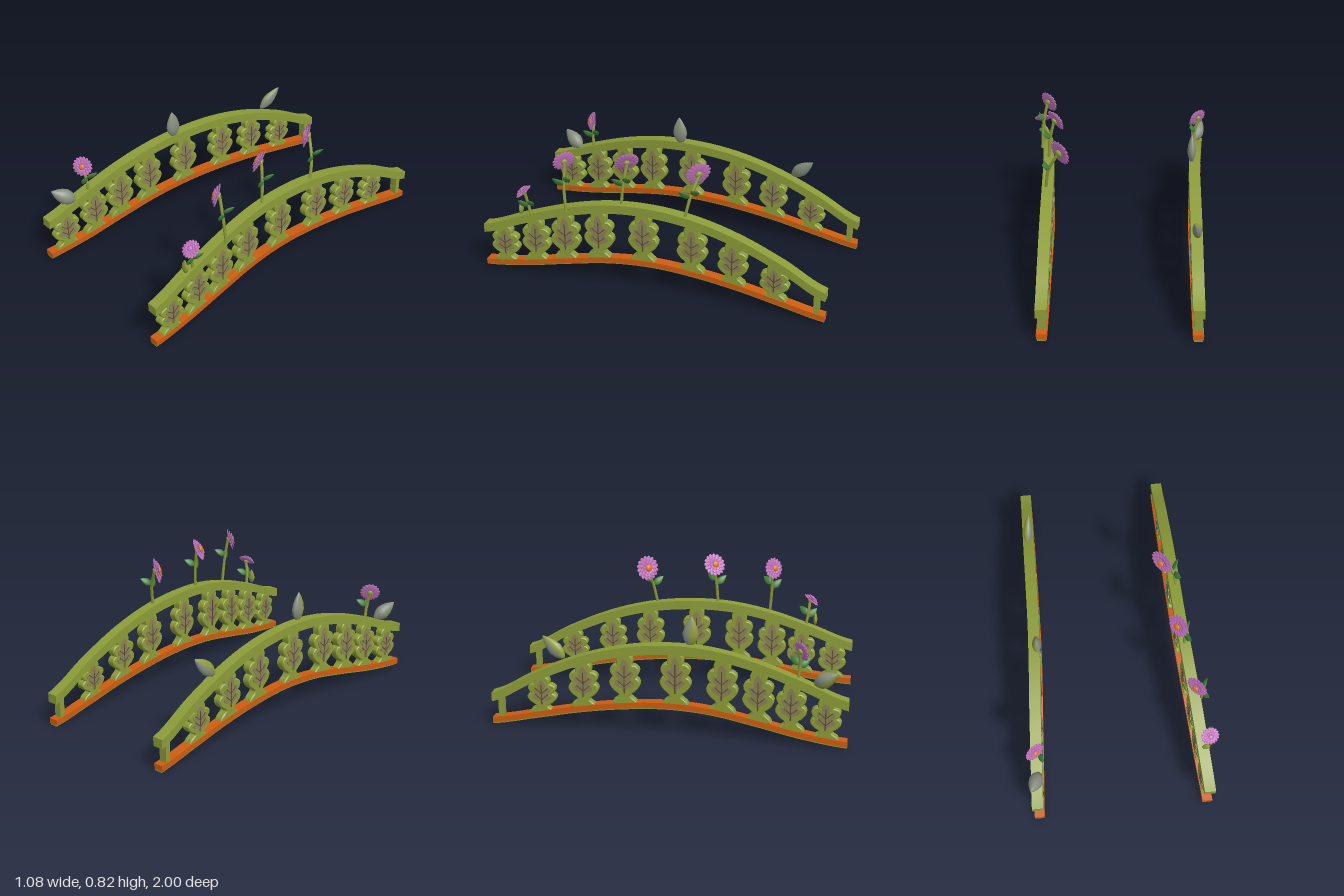
import * as THREE from 'three';
import { toCreasedNormals, mergeGeometries } from 'three/addons/utils/BufferGeometryUtils.js';

const mat = (name, color) => {
  const m = new THREE.MeshStandardMaterial({ color });
  m.name = name;
  return m;
};
const V = (x, y, z) => new THREE.Vector3(x, y, z);

// Height and offset profiles, evenly spaced from z = -1 to z = 1
const profile = (values) => {
  const curve = new THREE.SplineCurve(values.map((v, i) => new THREE.Vector2(-1 + i * 0.25, v)));
  return (z) => curve.getPoint((z + 1) / 2).y;
};
const railTop = profile([0.19, 0.32, 0.428, 0.497, 0.525, 0.515, 0.462, 0.377, 0.283]);
const beamTop = profile([0.04, 0.087, 0.137, 0.172, 0.188, 0.174, 0.13, 0.08, 0.05]);
const railX = profile([0.395, 0.395, 0.397, 0.4, 0.406, 0.42, 0.439, 0.457, 0.475]);
const RIGHT_SHIFT = 0.031;

// Rectangular bar following a height profile along the railing
function sweepBar(xAt, topAt, halfWidth, drop, height) {
  const pos = [], idx = [], n = 48;
  for (let i = 0; i <= n; i++) {
    const z = -1 + (2 * i) / n, x = xAt(z), t = topAt(z) - drop;
    for (const [sx, y] of [[-1, t - height], [1, t - height], [1, t], [-1, t]]) {
      pos.push(x + sx * halfWidth, y, z);
    }
  }
  for (let i = 0; i < n; i++) {
    for (let k = 0; k < 4; k++) {
      const a = i * 4 + k, b = i * 4 + ((k + 1) % 4);
      idx.push(a, b, b + 4, a, b + 4, a + 4);
    }
  }
  const e = n * 4;
  idx.push(0, 2, 1, 0, 3, 2, e, e + 1, e + 2, e, e + 2, e + 3);
  const g = new THREE.BufferGeometry();
  g.setAttribute('position', new THREE.Float32BufferAttribute(pos, 3));
  g.setIndex(idx);
  return toCreasedNormals(g, 0.6);
}

// Lobed leaf outline mirrored about its stem
function lobedShape(half, w, h, y0 = 0) {
  const pts = [...half, ...half.slice().reverse().filter(([x]) => x > 0).map(([x, y]) => [-x, y])]
    .map(([x, y]) => new THREE.Vector2(x * w, y0 + y * h));
  const shape = new THREE.Shape();
  shape.moveTo(pts[0].x, pts[0].y);
  shape.splineThru(pts.slice(1));
  shape.closePath();
  return shape;
}
const BALUSTER = [[0.85, 0], [0.72, 0.06], [0.4, 0.13], [0.36, 0.2], [0.75, 0.29], [1, 0.4], [0.9, 0.49],
  [0.68, 0.53], [0.9, 0.61], [0.93, 0.7], [0.7, 0.76], [0.48, 0.77], [0.5, 0.88], [0.34, 0.96], [0, 1]];
const INLAY = [[0.08, 0], [0.18, 0.12], [0.7, 0.2], [0.85, 0.33], [0.5, 0.4], [0.75, 0.52], [0.72, 0.64],
  [0.35, 0.65], [0.36, 0.82], [0, 1]];

// Curve segments apply to every outline point, so two are enough
function extrude(shape, depth, bevel = 0) {
  const g = new THREE.ExtrudeGeometry(shape, {
    depth, curveSegments: 2, bevelEnabled: bevel > 0, bevelSize: bevel, bevelThickness: bevel, bevelSegments: 1,
  });
  g.translate(0, 0, -depth / 2);
  g.rotateY(-Math.PI / 2);
  return toCreasedNormals(g, 0.6);
}

// Pointed bud or leaf standing on its base
function podGeometry(start = 0, length = Math.PI * 2) {
  const pts = [[0, 0], [0.45, 0.08], [0.85, 0.25], [1, 0.42], [0.85, 0.62], [0.5, 0.82], [0.2, 0.94], [0, 1]];
  return new THREE.LatheGeometry(pts.map(([x, y]) => new THREE.Vector2(x, y)), 14, start, length);
}

export function createModel() {
  const M = {
    green: mat('moss green', 0x8c9c38),
    orange: mat('burnt orange', 0xcc5c10),
    inlay: mat('olive brown', 0x8a8154),
    vein: mat('dark vein', 0x5a4c34),
    pink: mat('orchid pink', 0xc070ba),
    centre: mat('flower centre', 0xe0761a),
    leaf: mat('leaf green', 0x3f7d38),
    bud: mat('grey green', 0x868e7e),
  };
  const model = new THREE.Group();
  const add = (parent, name, geo, material) => {
    const m = new THREE.Mesh(geo, material);
    m.name = name;
    parent.add(m);
    return m;
  };

  function baluster(parent, xAt, z) {
    const g = new THREE.Group();
    g.name = 'leafBaluster';
    const y0 = beamTop(z) - 0.008, h = railTop(z) - 0.04 - y0;
    g.position.set(xAt(z), y0, z);
    g.rotation.y = Math.atan((xAt(z + 0.05) - xAt(z - 0.05)) / 0.1);
    const w = 0.07 + h * 0.04;
    add(g, 'balusterBody', extrude(lobedShape(BALUSTER, w, h), 0.04, 0.005), M.green);
    // Leaf inlay and veins on both faces
    for (const s of [-1, 1]) {
      add(g, 'leafInlay', extrude(lobedShape(INLAY, w * 0.8, h * 0.68, h * 0.23), 0.006), M.inlay)
        .position.x = s * 0.026;
      const veins = [new THREE.BoxGeometry(0.004, h * 0.55, 0.006).translate(0, h * 0.5, 0)];
      for (const v of [0.36, 0.53]) {
        for (const side of [-1, 1]) {
          veins.push(new THREE.BoxGeometry(0.004, 0.05, 0.005).translate(0, 0.025, 0)
            .rotateX(side * 0.85).translate(0, h * v, 0));
        }
      }
      add(g, 'leafVeins', mergeGeometries(veins), M.vein).position.x = s * 0.028;
    }
    parent.add(g);
  }

  // Two curved railings
  for (const side of [1, -1]) {
    const rail = new THREE.Group();
    rail.name = side > 0 ? 'leftRailing' : 'rightRailing';
    const xAt = (z) => (side > 0 ? railX(z) : -railX(z) - RIGHT_SHIFT);
    add(rail, 'handrail', sweepBar(xAt, railTop, 0.032, 0, 0.053), M.green);
    add(rail, 'lowerBeam', sweepBar(xAt, beamTop, 0.029, 0, 0.032), M.orange);
    add(rail, 'beamUnderside', sweepBar(xAt, beamTop, 0.023, 0.03, 0.01), M.green);
    for (const z of [0.88, 0.69, 0.51, 0.31, 0.05, -0.235, -0.47, -0.71]) baluster(rail, xAt, z);
    const low = beamTop(-0.95) - 0.01, high = railTop(-0.95) - 0.03;
    add(rail, 'endPost', new THREE.BoxGeometry(0.045, high - low, 0.03), M.green)
      .position.set(xAt(-0.95), (low + high) / 2, -0.95);
    model.add(rail);
  }

  const aim = (obj, from, dir) => obj.quaternion.setFromUnitVectors(from, dir.clone().normalize());
  const UP = V(0, 1, 0);

  // Large closed buds on the handrail, with one pale inner face
  function bud(base, tip, rx, rz) {
    const g = new THREE.Group();
    g.name = 'largeBud';
    const dir = tip.clone().sub(base);
    g.position.copy(base);
    aim(g, UP, dir);
    g.scale.set(rx, dir.length(), rz);
    add(g, 'budShell', podGeometry(0, Math.PI * 1.5), M.bud);
    add(g, 'budFace', podGeometry(Math.PI * 1.5, Math.PI / 2), M.green);
    model.add(g);
  }
  bud(V(-0.475, 0.345, 0.81), V(-0.53, 0.435, 0.935), 0.04, 0.045);
  bud(V(-0.425, 0.51, 0.125), V(-0.425, 0.685, 0.135), 0.025, 0.044);
  bud(V(-0.435, 0.41, -0.575), V(-0.41, 0.53, -0.705), 0.026, 0.04);

  // One ring of flattened petals facing +z
  function petalRing(count, inner, outer, z, tilt, turn) {
    const parts = [], len = (outer - inner) / 2;
    for (let i = 0; i < count; i++) {
      parts.push(new THREE.SphereGeometry(1, 8, 6)
        .scale((Math.PI * outer / count) * 1.05, len, 0.004)
        .rotateX(tilt).translate(0, inner + len, z).rotateZ((i / count) * Math.PI * 2 + turn));
    }
    return mergeGeometries(parts);
  }

  function flower(base, head, normal, r, leafAt, centred = true) {
    const g = new THREE.Group();
    g.name = 'flower';
    const mid = base.clone().lerp(head, 0.55).add(V((base.x - head.x) * 0.3, 0, 0));
    const n = normal.clone().normalize();
    const path = new THREE.CatmullRomCurve3([base, mid, head.clone().addScaledVector(n, -0.012)]);
    add(g, 'stem', new THREE.TubeGeometry(path, 12, 0.009, 7), M.green);
    const bloom = new THREE.Group();
    bloom.name = 'bloom';
    bloom.position.copy(head);
    aim(bloom, V(0, 0, 1), n);
    add(bloom, 'outerPetals', petalRing(16, r * 0.25, r, 0, 0.12, 0), M.pink);
    add(bloom, 'middlePetals', petalRing(13, r * 0.2, r * 0.78, 0.009, 0.25, 0.2), M.pink);
    add(bloom, 'innerPetals', petalRing(10, r * 0.1, r * 0.55, 0.017, 0.4, 0.1), M.pink);
    add(bloom, 'flowerCentre', new THREE.SphereGeometry(r * 0.3, 12, 8).scale(1, 1, 0.55).translate(0, 0, 0.018),
      centred ? M.centre : M.pink);
    add(bloom, 'calyx', new THREE.SphereGeometry(r * 0.3, 10, 6).scale(1, 1, 0.6).translate(0, 0, -0.008), M.green);
    g.add(bloom);
    // Leaves on either side of the stem
    [[0.03, 0.045, 0.05], [0.035, 0.035, -0.05]].forEach(([x, y, z], i) => {
      const dir = V(x, y, z);
      const l = add(g, 'stemLeaf', podGeometry(), M.leaf);
      l.position.copy(path.getPoint(leafAt + i * 0.1));
      aim(l, UP, dir);
      l.scale.set(0.009, dir.length() * 1.1, 0.022);
    });
    model.add(g);
  }
  flower(V(0.41, 0.49, -0.19), V(0.325, 0.735, -0.24), V(-0.72, 0.25, 0.65), 0.076, 0.45);
  flower(V(0.415, 0.5, 0.18), V(0.37, 0.76, 0.16), V(-0.72, 0.45, 0.5), 0.07, 0.45);
  flower(V(0.475, 0.44, 0.49), V(0.43, 0.735, 0.51), V(-0.65, 0.25, 0.65), 0.066, 0.5);
  flower(V(0.465, 0.36, 0.71), V(0.487, 0.53, 0.74), V(0.1, 0.75, 0.6), 0.053, 0.35, false);
  flower(V(-0.47, 0.36, 0.72), V(-0.49, 0.54, 0.735), V(0.55, 0.3, 0.75), 0.06, 0.4);

  // Small pale leaf beside the front flower
  const sprout = add(model, 'sprout', podGeometry(), M.green);
  sprout.position.set(0.47, 0.375, 0.77);
  sprout.scale.set(0.024, 0.09, 0.012);
  return model;
}
